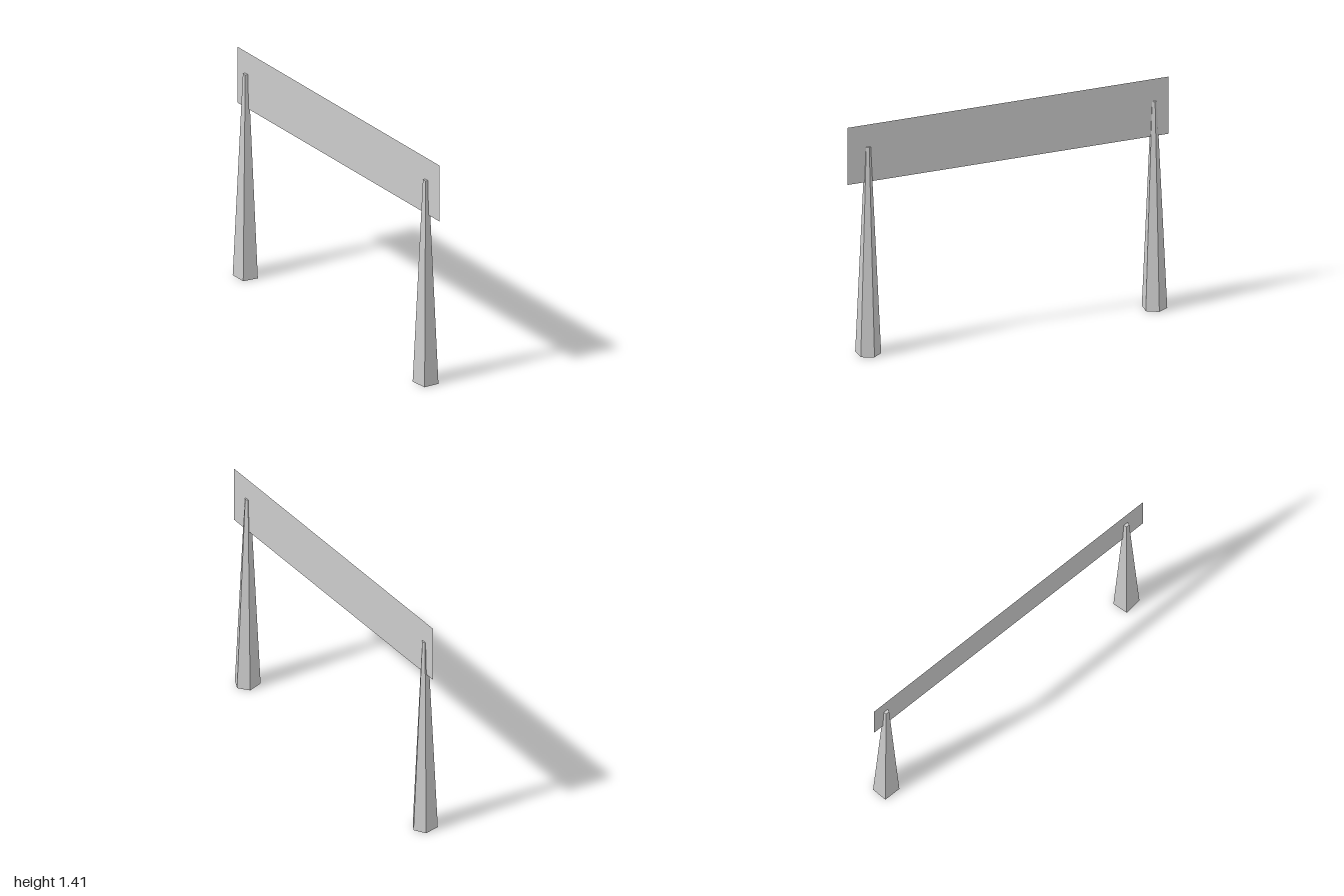
import * as THREE from 'three';

const POST_HEIGHT = 1.272;
const TIP_SCALE = 0.22;

// Five-sided post, slightly irregular in plan, tapering to a narrow flat tip
function postGeometry() {
  const plan = [[0, -0.072], [-0.067, -0.031], [-0.052, 0.061], [0.052, 0.061], [0.067, -0.031]];
  const shape = new THREE.Shape(plan.map(([x, z]) => new THREE.Vector2(x, -z)));
  const geometry = new THREE.ExtrudeGeometry(shape, { depth: POST_HEIGHT, bevelEnabled: false });
  geometry.rotateX(-Math.PI / 2);
  const pos = geometry.attributes.position;
  for (let i = 0; i < pos.count; i++) {
    const t = pos.getY(i) / POST_HEIGHT;
    const s = 1 + (TIP_SCALE - 1) * t;
    pos.setX(i, pos.getX(i) * s);
    pos.setZ(i, pos.getZ(i) * s + 0.005 * t);
  }
  geometry.computeVertexNormals();
  return geometry;
}

export function createModel() {
  const group = new THREE.Group();
  const material = new THREE.MeshStandardMaterial({ color: 0xcccccc, flatShading: true });

  // Two posts, the left one turned slightly
  const geometry = postGeometry();
  for (const [name, x, turn] of [['rightPost', -0.912, 0], ['leftPost', 0.872, 0.105]]) {
    const post = new THREE.Mesh(geometry, material);
    post.name = name;
    post.position.set(x, 0, 0.002);
    post.rotation.y = turn;
    group.add(post);
  }

  // Thin banner stretched between the post tips
  const bannerMaterial = new THREE.MeshStandardMaterial({ color: 0xcccccc, side: THREE.DoubleSide });
  const banner = new THREE.Mesh(new THREE.PlaneGeometry(2, 0.352), bannerMaterial);
  banner.name = 'banner';
  banner.position.set(0, 1.233, 0.004);
  group.add(banner);

  return group;
}
